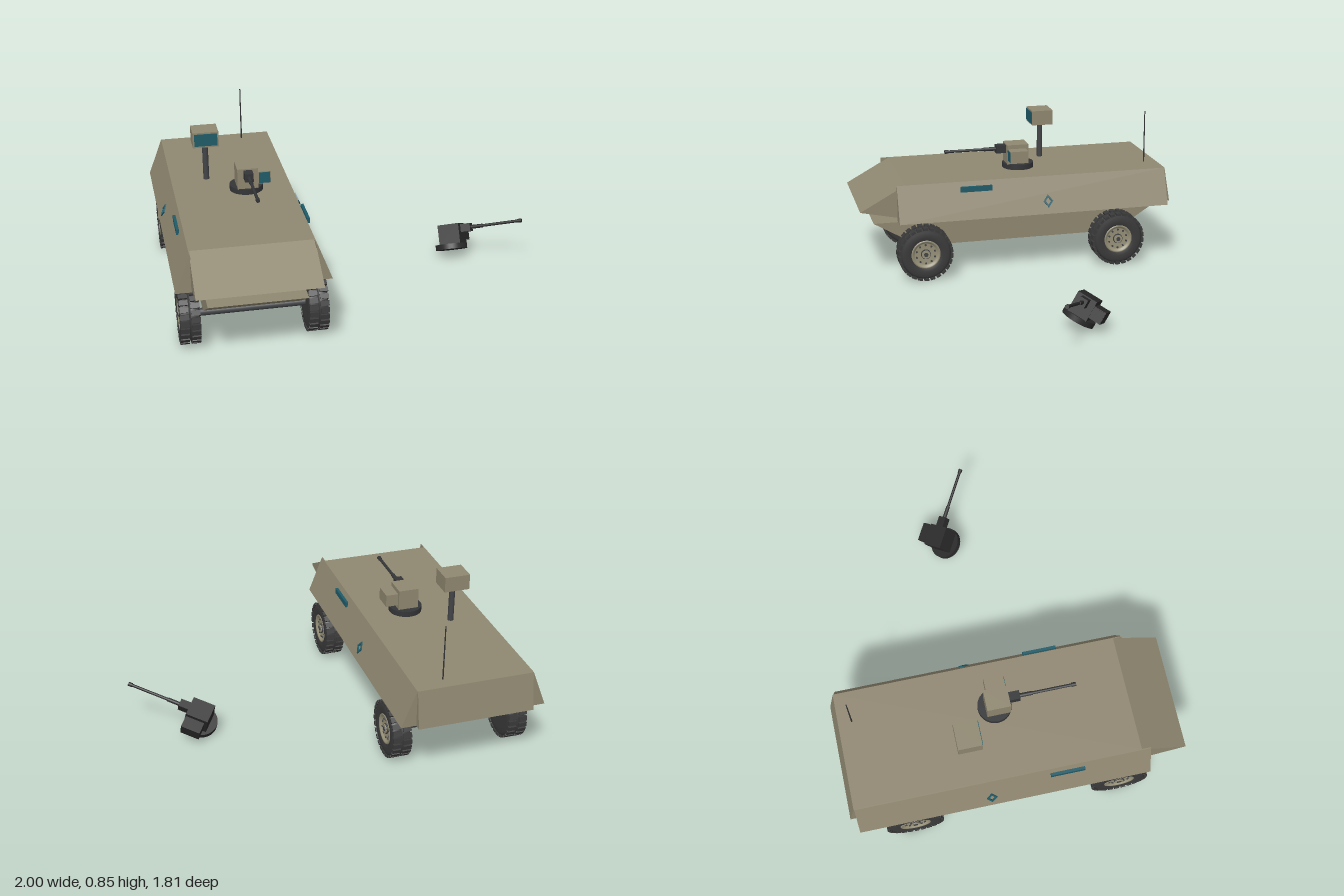
import * as THREE from 'three';

const mat = (name, color) => {
  const m = new THREE.MeshStandardMaterial({ color });
  m.name = name;
  return m;
};

export function createModel() {
  const paint = mat('olive paint', 0x8f8770);
  const rim = mat('rim paint', 0x979178);
  const rubber = mat('rubber', 0x3a3a3b);
  const metal = mat('gun metal', 0x343537);
  const steel = mat('dark steel', 0x424447);
  const glass = mat('teal glass', 0x1f5c69);
  const charred = mat('charred metal', 0x29292a);

  const add = (parent, name, geo, material, x = 0, y = 0, z = 0) => {
    const m = new THREE.Mesh(geo, material);
    m.name = name;
    m.position.set(x, y, z);
    parent.add(m);
    return m;
  };
  const group = (parent, name, x = 0, y = 0, z = 0) => {
    const g = new THREE.Group();
    g.name = name;
    g.position.set(x, y, z);
    parent.add(g);
    return g;
  };
  const box = (w, h, d) => new THREE.BoxGeometry(w, h, d);
  const shapeOf = pts => new THREE.Shape(pts.map(p => new THREE.Vector2(...p)));
  const extrude = (shape, depth) => new THREE.ExtrudeGeometry(shape, { depth, bevelEnabled: false });
  // Side profile of [z, y] points, extruded across x
  const across = (pts, width) =>
    extrude(shapeOf(pts), width).rotateY(-Math.PI / 2).translate(width / 2, 0, 0);
  const rodX = (r, len, n = 24) => new THREE.CylinderGeometry(r, r, len, n).rotateZ(-Math.PI / 2);
  const rodZ = (r, len, n = 16) => new THREE.CylinderGeometry(r, r, len, n).rotateX(Math.PI / 2);

  const model = new THREE.Group();
  model.name = 'armouredVehicle';
  const car = group(model, 'vehicle', -0.607);

  // Hulls
  add(car, 'upperHull', across([[0.65, 0.55], [-0.87, 0.55], [-0.905, 0.347], [0.61, 0.347], [0.905, 0.41]], 0.626), paint);
  add(car, 'lowerHull', across([[0.825, 0.32], [-0.835, 0.32], [-0.6, 0.17], [0.57, 0.17]], 0.5), paint);

  // Sloped side armour, slit windows and diamond marks
  const tilt = Math.atan2(0.08, 0.2);
  const diamond = (w, h) => [[w, 0], [0, h], [-w, 0], [0, -h]];
  for (const s of [1, -1]) {
    const side = extrude(shapeOf([[s * 0.31, 0.55], [s * 0.315, 0.55], [s * 0.393, 0.347], [s * 0.31, 0.347]]), 1.565);
    add(car, 'sideArmour', side, paint, 0, 0, -0.867);
    add(car, 'slitWindow', box(0.015, 0.03, 0.182), glass, s * 0.338, 0.51, 0.252);

    const mark = shapeOf(diamond(0.028, 0.037));
    mark.holes.push(new THREE.Path(diamond(0.016, 0.022).map(p => new THREE.Vector2(...p))));
    const m = add(car, 'diamondMark', extrude(mark, 0.006), glass, s * 0.367, 0.415, -0.157);
    m.rotation.set(-tilt, s * Math.PI / 2, 0, 'YXZ');
  }

  // Wheels, built with the outer face towards +x
  const tyreProfile = [[0.08, 0.044], [0.1, 0.051], [0.13, 0.049], [0.144, 0.042], [0.146, 0.006], [0.139, 0.004],
    [0.139, -0.004], [0.146, -0.006], [0.144, -0.042], [0.13, -0.049], [0.1, -0.051], [0, -0.049]];
  const tyreGeo = new THREE.LatheGeometry(tyreProfile.map(p => new THREE.Vector2(...p)).reverse(), 48).rotateZ(-Math.PI / 2);
  const rimProfile = [[0, 0.034], [0.06, 0.034], [0.068, 0.04], [0.074, 0.048], [0.082, 0.048], [0.084, 0.04]];
  const rimGeo = new THREE.LatheGeometry(rimProfile.map(p => new THREE.Vector2(...p)).reverse(), 40).rotateZ(-Math.PI / 2);
  const lugGeo = box(0.045, 0.014, 0.026);
  const boltGeo = rodX(0.0055, 0.01, 8);
  const LUGS = 26;

  const makeWheel = (x, z, s) => {
    const w = group(car, 'wheel', x, 0.155, z);
    if (s < 0) w.rotation.y = Math.PI;
    add(w, 'tyre', tyreGeo, rubber);
    add(w, 'rim', rimGeo, rim);
    for (let i = 0; i < LUGS; i++) {
      for (const row of [-1, 1]) {
        const a = (i + (row > 0 ? 0 : 0.5)) / LUGS * Math.PI * 2;
        const lug = add(w, 'treadLug', lugGeo, rubber, row * 0.0285, Math.cos(a) * 0.148, Math.sin(a) * 0.148);
        lug.rotation.x = a;
      }
    }
    for (let i = 0; i < 10; i++) {
      const a = i / 10 * Math.PI * 2;
      add(w, 'wheelBolt', boltGeo, steel, 0.036, Math.cos(a) * 0.054, Math.sin(a) * 0.054);
    }
    add(w, 'hubFlange', rodX(0.028, 0.012), steel, 0.036);
    add(w, 'hub', rodX(0.024, 0.018), rim, 0.038);
    add(w, 'hubCap', rodX(0.012, 0.01, 16), steel, 0.046);
  };
  for (const z of [0.552, -0.577]) {
    add(car, 'axle', rodX(0.02, 0.66), steel, 0, 0.155, z);
    for (const s of [1, -1]) makeWheel(s * 0.325, z, s);
  }

  // Gun turret; the burnt one uses a single material
  const makeTurret = (parent, name, burnt) => {
    const body = burnt || paint, dark = burnt || metal, lens = burnt || glass;
    const t = group(parent, name);
    add(t, 'turretRing', new THREE.CylinderGeometry(0.09, 0.09, 0.03, 32), dark, 0, 0.015, 0);
    add(t, 'turretBody', box(0.112, 0.115, 0.125), body, 0, 0.085, 0.012);
    add(t, 'sightHousing', box(0.068, 0.068, 0.105), body, 0.09, 0.085, 0.018);
    add(t, 'sightGlass', box(0.06, 0.06, 0.004), lens, 0.09, 0.085, 0.071);
    add(t, 'gunMount', box(0.046, 0.046, 0.06), dark, 0, 0.113, 0.102);
    add(t, 'barrel', rodZ(0.008, 0.3), dark, 0, 0.113, 0.28);
    add(t, 'barrelSleeve', rodZ(0.011, 0.07), dark, 0, 0.113, 0.165);
    add(t, 'muzzle', rodZ(0.011, 0.022), dark, 0, 0.113, 0.42);
    return t;
  };
  makeTurret(car, 'gunTurret').position.set(0.073, 0.55, -0.05);

  // Detached burnt turret lying on the ground
  const wreck = makeTurret(model, 'burntTurret', charred);
  wreck.position.set(0.643, 0.047, -0.077);
  wreck.rotation.set(-0.52, 0.96, 0);

  // Sensor mast
  const mast = group(car, 'sensorMast', -0.122, 0.55, -0.232);
  add(mast, 'mastPole', new THREE.CylinderGeometry(0.016, 0.016, 0.22, 20), steel, 0, 0.108, 0);
  add(mast, 'sensorHead', box(0.14, 0.085, 0.125), paint, 0, 0.249, 0);
  add(mast, 'sensorGlass', box(0.124, 0.068, 0.006), glass, 0, 0.249, 0.063);

  // Whip antenna
  add(car, 'antenna', new THREE.CylinderGeometry(0.003, 0.004, 0.307, 8), metal, 0.152, 0.7, -0.797);

  return model;
}
